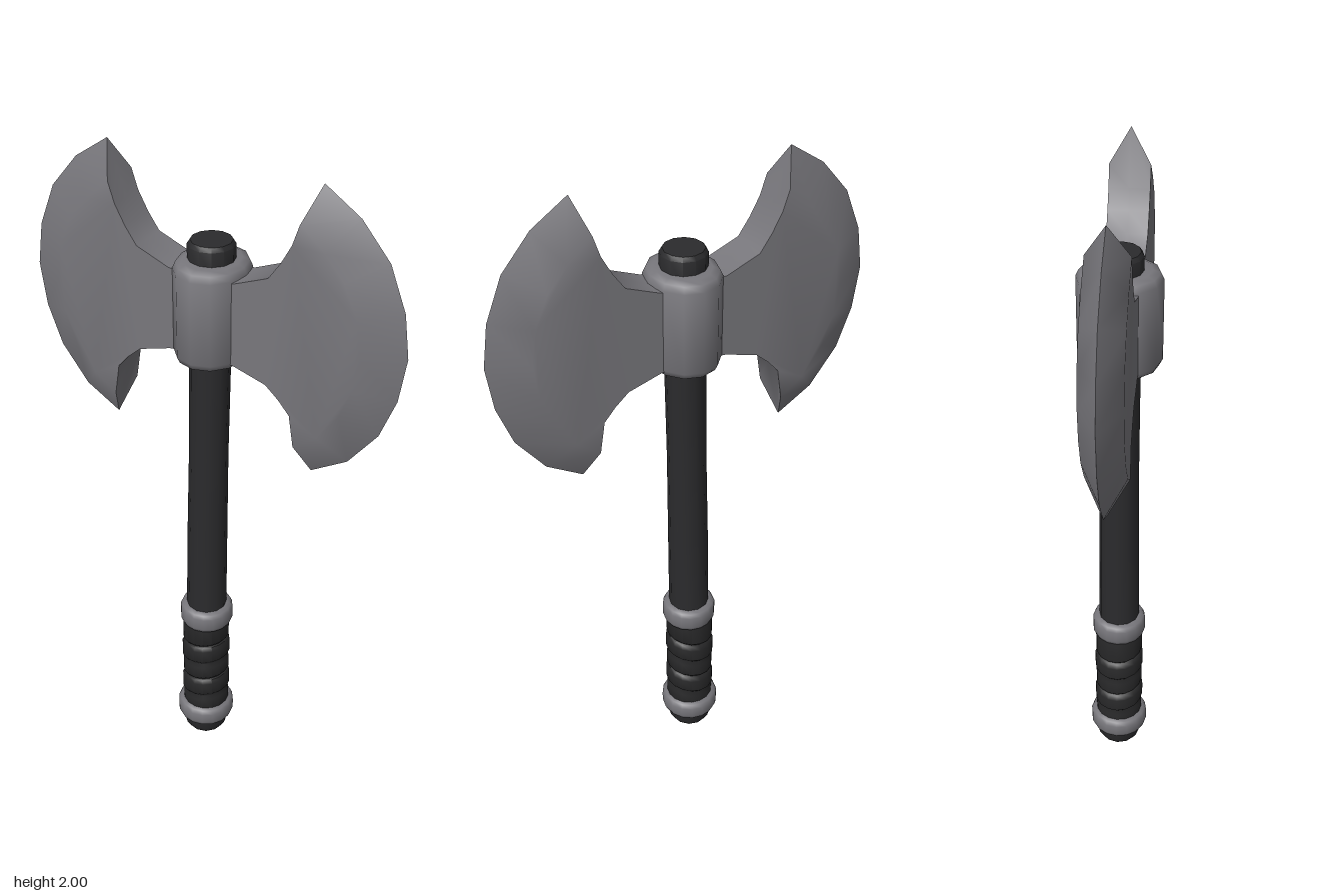
import * as THREE from 'three';
import { toCreasedNormals } from 'three/addons/utils/BufferGeometryUtils.js';

const metal = new THREE.MeshStandardMaterial({ color: 0x78777c });
metal.name = 'steel';
const wood = new THREE.MeshStandardMaterial({ color: 0x2b2b2d });
wood.name = 'darkShaft';
const leather = new THREE.MeshStandardMaterial({ color: 0x262627 });
leather.name = 'darkLeather';

// Outline of the left (+x) blade: rim = cutting edge at z = 0, face = flat side at z = +-HALF
const HALF = 0.058;
const inner = [[0.275, 1.345], [0.24, 1.385], [0.2, 1.42], [0.1, 1.45], [0.05, 1.455],
  [0.05, 1.69], [0.1, 1.695], [0.2, 1.735], [0.235, 1.785], [0.265, 1.84]];
const rimOuter = [[0.32, 1.995], [0.425, 1.925], [0.51, 1.825], [0.56, 1.7], [0.578, 1.575],
  [0.56, 1.445], [0.515, 1.325], [0.43, 1.215], [0.322, 1.15]];
const faceOuter = [[0.285, 1.9], [0.355, 1.84], [0.415, 1.77], [0.455, 1.68], [0.468, 1.575],
  [0.455, 1.475], [0.42, 1.385], [0.36, 1.3], [0.29, 1.25]];

function bladeGeometry(side) {
  const rim = [...inner, ...rimOuter];
  const face = [...inner, ...faceOuter];
  const n = rim.length;
  const pos = [];
  const put = ([x, y], z) => pos.push(x * side, y, z);
  // mirrored sides swap the corner order
  const tri = (a, b, c) => (side > 0 ? [a, b, c] : [a, c, b]).forEach(([p, z]) => put(p, z));
  const caps = THREE.ShapeUtils.triangulateShape(face.map(p => new THREE.Vector2(...p)), []);
  // the outline runs clockwise seen from the front
  for (const t of caps) {
    const [a, b, c] = t.map(i => face[i]);
    const ccw = (b[0] - a[0]) * (c[1] - a[1]) - (b[1] - a[1]) * (c[0] - a[0]) > 0;
    const [u, v, w] = ccw ? [a, b, c] : [a, c, b];
    tri([u, HALF], [v, HALF], [w, HALF]);
    tri([u, -HALF], [w, -HALF], [v, -HALF]);
  }
  for (let i = 0; i < n; i++) {
    const j = (i + 1) % n;
    const F = [face[i], HALF], G = [face[j], HALF], R = [rim[i], 0], S = [rim[j], 0];
    const B = [face[i], -HALF], C = [face[j], -HALF];
    tri(F, G, S); tri(F, S, R);
    tri(R, S, C); tri(R, C, B);
  }
  const g = new THREE.BufferGeometry();
  g.setAttribute('position', new THREE.Float32BufferAttribute(pos, 3));
  return toCreasedNormals(g, 0.6);
}

// Turned part from [radius, y] points
function turned(points, sides, crease = 0.7) {
  const g = new THREE.LatheGeometry(points.map(p => new THREE.Vector2(...p)), sides);
  return toCreasedNormals(g, crease);
}

// Turned band with bevelled corners and closed inner face
function band(r, y0, y1, bevel, hole, sides) {
  return turned([[hole, y0], [r - bevel, y0], [r - bevel * 0.3, y0 + bevel * 0.3], [r, y0 + bevel],
    [r, y1 - bevel], [r - bevel * 0.3, y1 - bevel * 0.3], [r - bevel, y1], [hole, y1]], sides, 0.9);
}

export function createModel() {
  const model = new THREE.Group();
  const add = (name, geometry, material, x = 0) => {
    const mesh = new THREE.Mesh(geometry, material);
    mesh.name = name;
    mesh.position.x = x;
    model.add(mesh);
    return mesh;
  };

  // Head: two mirrored blades and the socket that holds them
  add('leftBlade', bladeGeometry(1), metal);
  add('rightBlade', bladeGeometry(-1), metal);
  add('headSocket', band(0.104, 1.43, 1.725, 0.026, 0.05, 12), metal, 0.003).scale.z = 1.15;

  // Shaft, leaning slightly to the right as it goes down
  const shaft = turned([[0, 0.45], [0.063, 0.45], [0.061, 0.8], [0.058, 1.1], [0.059, 1.45],
    [0.066, 1.7], [0.066, 1.765], [0.058, 1.777], [0, 1.777]], 12);
  const sp = shaft.attributes.position;
  for (let i = 0; i < sp.count; i++) {
    sp.setX(i, sp.getX(i) - 0.019 * Math.min(1, Math.max(0, (1.7 - sp.getY(i)) / 1.15)));
  }
  add('shaft', shaft, wood);

  // Grip: overlapping wraps with slanted grooves
  const wraps = [[0.1, 0.175], [0.175, 0.245], [0.245, 0.315], [0.315, 0.385], [0.385, 0.5]];
  const profile = [[0, 0.1]];
  wraps.forEach(([a, b], i) => {
    const r = 0.074 + (i % 2) * 0.003;
    profile.push([r - 0.01, a], [r, a + 0.012], [r, b - 0.016], [r - 0.007, b - 0.003]);
  });
  profile.push([0, 0.5]);
  const grip = new THREE.LatheGeometry(profile.map(p => new THREE.Vector2(...p)), 16);
  const gp = grip.attributes.position;
  for (let i = 0; i < gp.count; i++) {
    gp.setY(i, gp.getY(i) + 0.14 * gp.getX(i) + 0.06 * gp.getZ(i));
  }
  add('gripWrap', toCreasedNormals(grip, 0.7), leather, -0.021);

  // Metal bands around the grip and the rounded butt
  add('upperBand', band(0.083, 0.462, 0.536, 0.018, 0.05, 16), metal, -0.018);
  add('lowerBand', band(0.091, 0.06, 0.132, 0.02, 0.05, 16), metal, -0.022);
  add('buttCap', turned([[0, 0], [0.042, 0.001], [0.06, 0.01], [0.071, 0.03], [0.073, 0.08], [0, 0.08]], 12, 0.9),
    wood, -0.022);

  return model;
}
